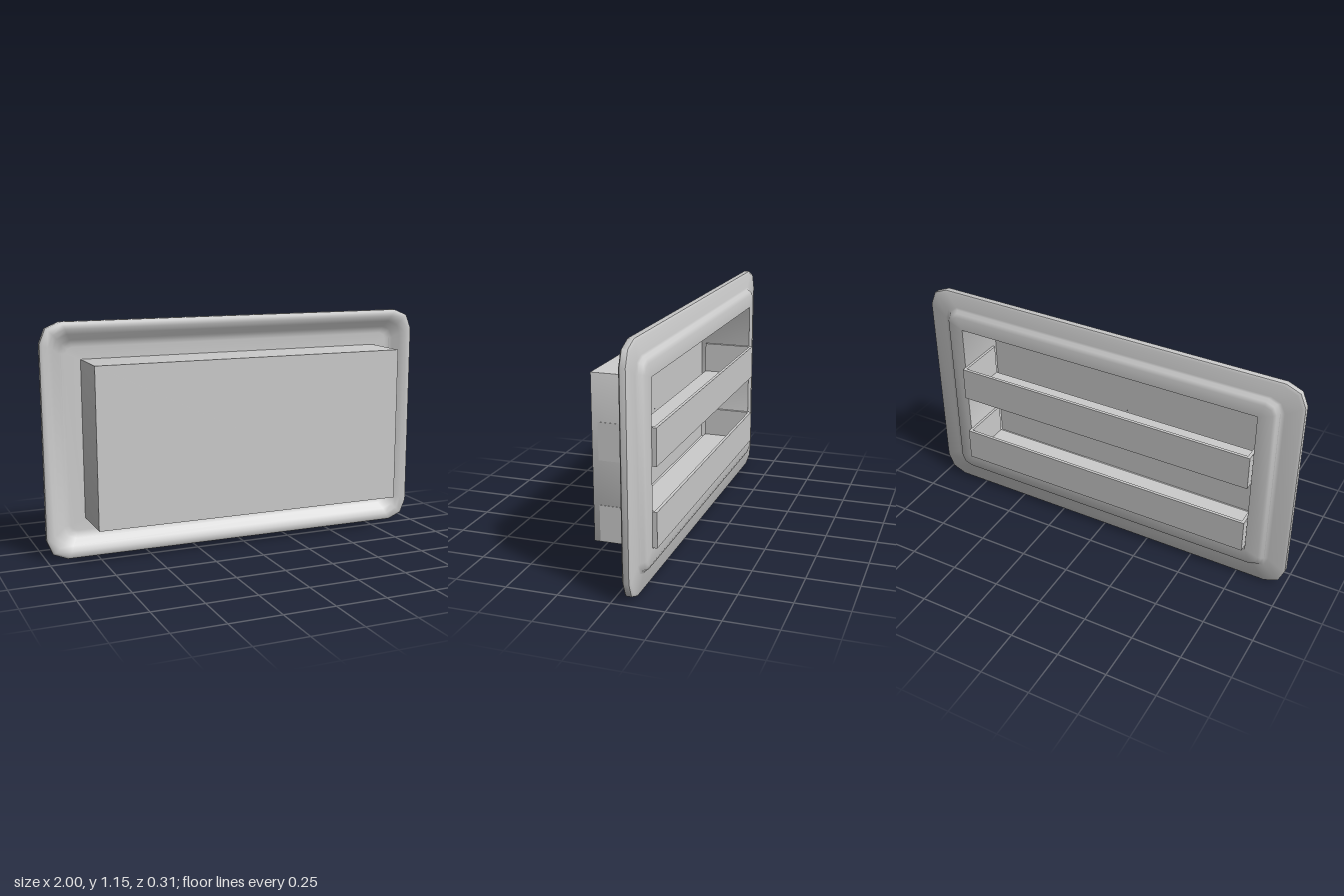
import * as THREE from 'three';
import { toCreasedNormals } from 'three/addons/utils/BufferGeometryUtils.js';

const MID_Y = 0.575;
const CORNER_STEPS = 2;
const material = new THREE.MeshStandardMaterial({ color: 0xcccccc, side: THREE.DoubleSide });

// Rounded rectangle loop, counter-clockwise seen from +z
function ring([hx, hy, r, z]) {
  const points = [];
  [[1, 1], [-1, 1], [-1, -1], [1, -1]].forEach(([sx, sy], corner) => {
    for (let k = 0; k <= CORNER_STEPS; k++) {
      const a = (corner + k / CORNER_STEPS) * Math.PI / 2;
      points.push([sx * (hx - r) + r * Math.cos(a), MID_Y + sy * (hy - r) + r * Math.sin(a), z]);
    }
  });
  return points;
}

// Skin a series of rounded rectangles [halfWidth, halfHeight, radius, z]
function loft(sections, crease) {
  const rings = sections.map(ring);
  const n = rings[0].length;
  const index = [];
  for (let i = 0; i < rings.length - 1; i++) {
    for (let j = 0; j < n; j++) {
      const a = i * n + j, b = i * n + (j + 1) % n;
      index.push(a, b, b + n, a, b + n, a + n);
    }
  }
  const geometry = new THREE.BufferGeometry();
  geometry.setAttribute('position', new THREE.Float32BufferAttribute(rings.flat(2), 3));
  geometry.setIndex(index);
  return toCreasedNormals(geometry, crease);
}

function addMesh(parent, name, geometry) {
  const mesh = new THREE.Mesh(geometry, material);
  mesh.name = name;
  parent.add(mesh);
  return mesh;
}

// Box given by its lower and upper corners
function addSlab(parent, name, [x0, y0, z0], [x1, y1, z1]) {
  const mesh = addMesh(parent, name, new THREE.BoxGeometry(x1 - x0, y1 - y0, z1 - z0));
  mesh.position.set((x0 + x1) / 2, (y0 + y1) / 2, (z0 + z1) / 2);
}

// Open-topped shelf tray with a floor, a back lip and two ends
function createTray(name, y0, y1) {
  const tray = new THREE.Group();
  tray.name = name;
  const x0 = -0.787, x1 = 0.797, z0 = -0.15, z1 = 0.12, t = 0.015;
  addSlab(tray, 'trayFloor', [x0, y0, z0], [x1, y0 + t, z1]);
  addSlab(tray, 'trayLip', [x0, y0, z0], [x1, y1, z0 + t]);
  addSlab(tray, 'trayRightEnd', [x0, y0, z0], [x0 + t, y1, z1]);
  addSlab(tray, 'trayLeftEnd', [x1 - t, y0, z0], [x1, y1, z1]);
  return tray;
}

export function createModel() {
  const model = new THREE.Group();
  model.name = 'doorPanel';

  // Pressed frame: raised at the back, hollow at the front
  addMesh(model, 'frame', loft([
    [0.795, 0.39, 0.001, -0.128],
    [0.865, 0.455, 0.04, -0.128],
    [0.88, 0.475, 0.055, -0.12],
    [0.89, 0.485, 0.06, -0.105],
    [0.91, 0.495, 0.07, -0.1],
    [0.985, 0.565, 0.095, -0.1],
    [0.998, 0.575, 0.1, -0.093],
    [0.998, 0.575, 0.1, -0.066],
    [0.985, 0.565, 0.095, -0.057],
    [0.96, 0.54, 0.085, -0.06],
    [0.935, 0.515, 0.07, -0.073],
    [0.905, 0.485, 0.06, -0.098],
    [0.885, 0.465, 0.045, -0.108],
    [0.865, 0.45, 0.03, -0.11],
    [0.795, 0.39, 0.001, -0.11],
  ], 0.95));

  // Compartment box, open at the back
  addMesh(model, 'compartment', loft([
    [0.795, 0.39, 0.001, -0.128],
    [0.795, 0.39, 0.001, 0.149],
    [0.001, 0.001, 0.001, 0.149],
  ], 0.4));

  // Shelf trays
  model.add(createTray('lowerTray', 0.19, 0.36));
  model.add(createTray('upperTray', 0.57, 0.745));

  // The whole panel is turned very slightly
  model.rotation.y = -0.0065;
  const group = new THREE.Group();
  group.name = 'shelvedDoor';
  group.add(model);
  return group;
}
